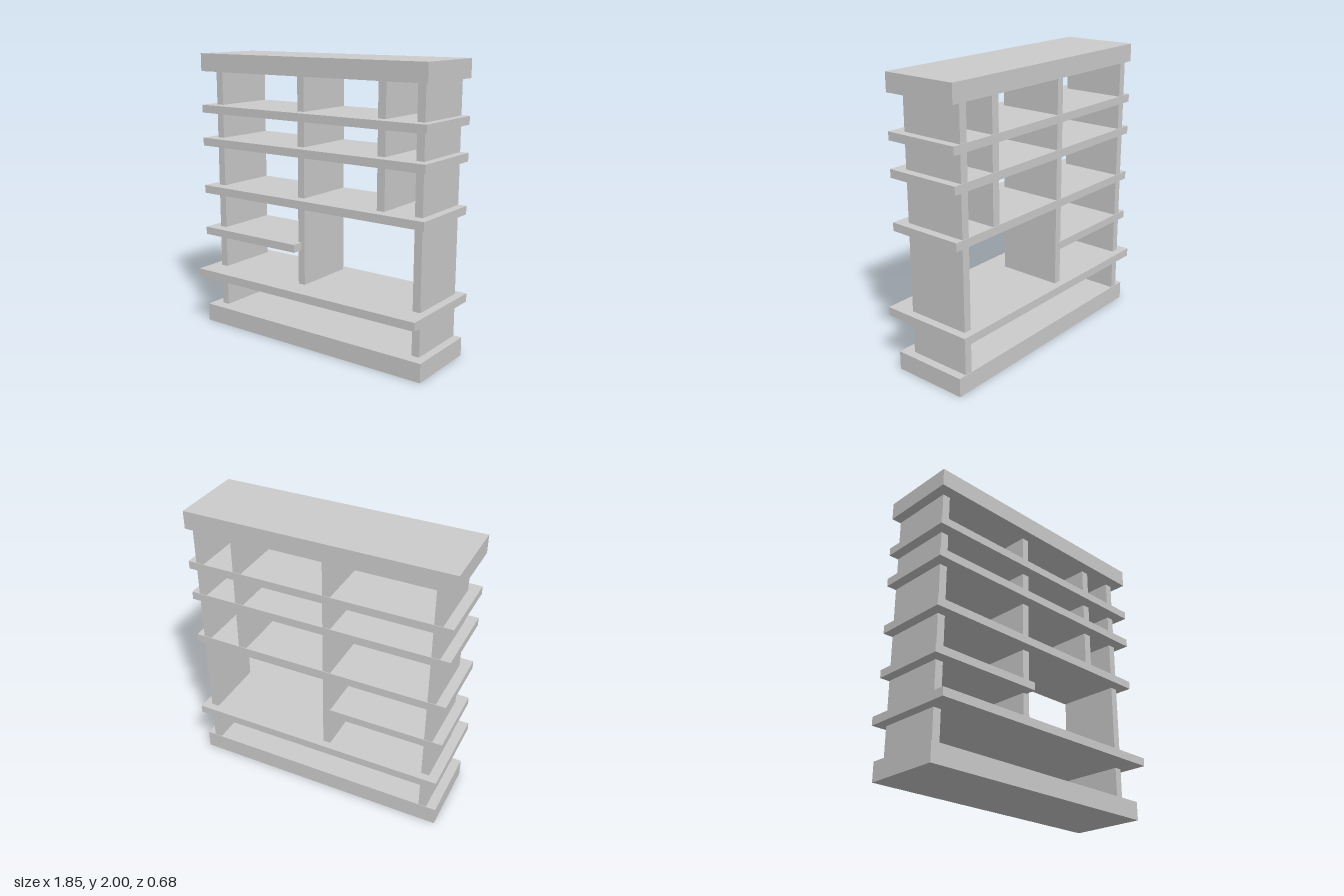
import * as THREE from 'three';

export function createModel() {
  const group = new THREE.Group();
  const material = new THREE.MeshStandardMaterial({ color: 0xcccccc, flatShading: true });

  // Box given by its extents along each axis
  function board(name, [x0, x1], [y0, y1], [z0, z1]) {
    const mesh = new THREE.Mesh(new THREE.BoxGeometry(x1 - x0, y1 - y0, z1 - z0), material);
    mesh.position.set((x0 + x1) / 2, (y0 + y1) / 2, (z0 + z1) / 2);
    mesh.name = name;
    group.add(mesh);
  }

  const width = [-0.925, 0.922];
  const shelfDepth = [-0.29, 0.255];
  const uprightDepth = [-0.286, 0.173];

  // Thick slabs at bottom and top
  board('base', width, [0, 0.13], shelfDepth);
  board('top', width, [1.875, 2], shelfDepth);

  // Deep counter shelf, overhanging front and back
  board('counterShelf', width, [0.372, 0.43], [-0.34, 0.34]);

  // Full-width shelves
  [[0.99, 1.047], [1.341, 1.398], [1.58, 1.636]].forEach((y, i) =>
    board(`shelf${i + 1}`, width, y, shelfDepth));

  // Half-width shelf ending in the central divider
  board('halfShelf', [-0.925, -0.09], [0.677, 0.732], shelfDepth);

  // Uprights, each running from its supporting shelf to the top
  board('rightSide', [-0.856, -0.80], [0.13, 1.875], uprightDepth);
  board('leftSide', [0.808, 0.864], [0.13, 1.875], uprightDepth);
  board('centralDivider', [-0.117, -0.063], [0.43, 1.875], uprightDepth);
  board('upperDivider', [0.526, 0.584], [1.047, 1.875], uprightDepth);

  return group;
}
